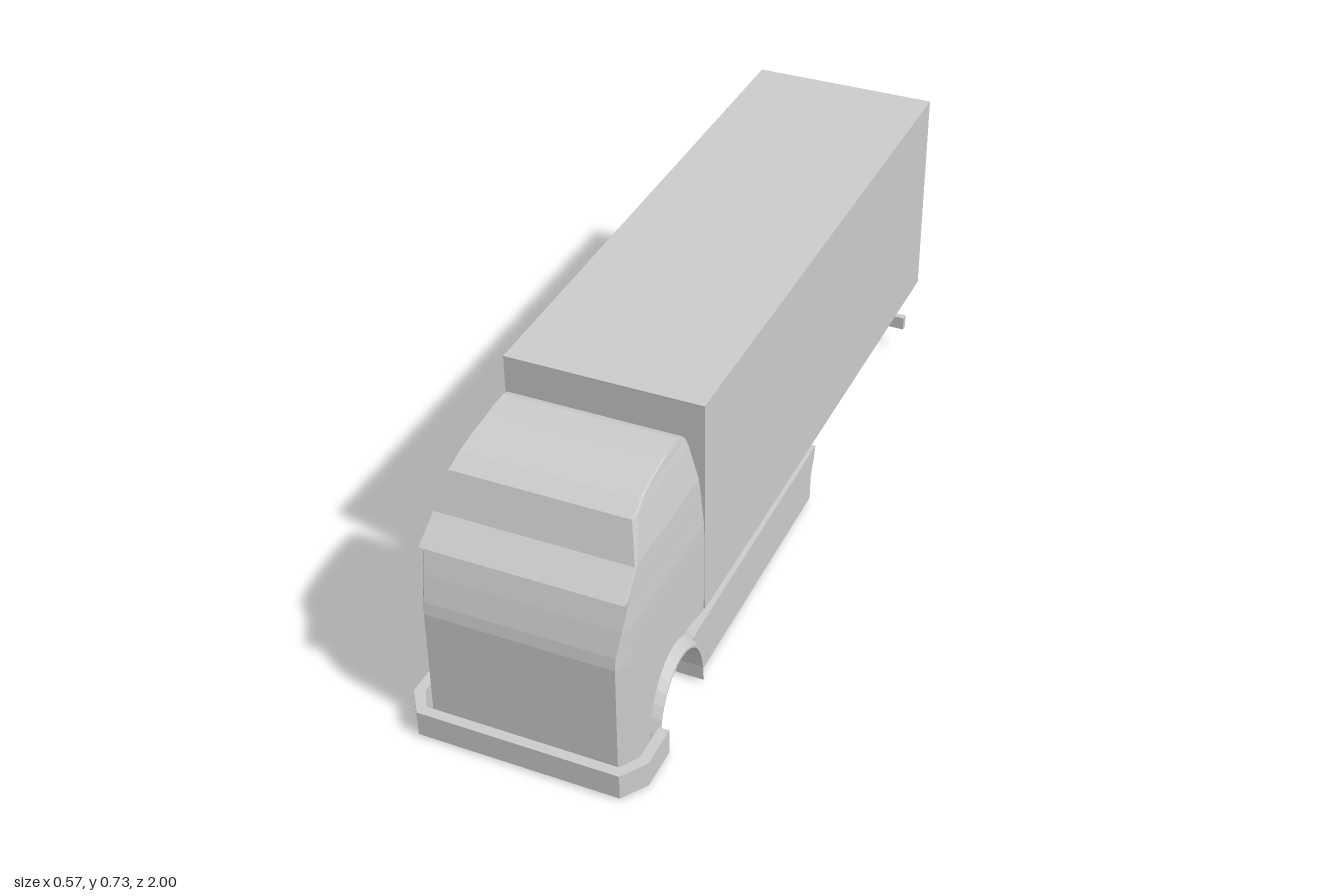
import * as THREE from 'three';

const CX = -0.003; // centre line of the body

const material = new THREE.MeshStandardMaterial({ color: 0xcccccc, flatShading: true });

function add(parent, geometry, name) {
  const mesh = new THREE.Mesh(geometry, material);
  mesh.name = name;
  parent.add(mesh);
  return mesh;
}

// Box given by its limits
function block(parent, name, x0, x1, y0, y1, z0, z1) {
  const g = new THREE.BoxGeometry(x1 - x0, y1 - y0, z1 - z0);
  g.translate((x0 + x1) / 2, (y0 + y1) / 2, (z0 + z1) / 2);
  return add(parent, g, name);
}

// Closed solid through a list of rings with equal point counts
function loft(rings) {
  const n = rings[0].length, m = rings.length, index = [];
  const pos = rings.flat(2);
  for (let i = 0; i < m - 1; i++) {
    for (let j = 0; j < n; j++) {
      const a = i * n + j, b = i * n + (j + 1) % n;
      index.push(a, b, b + n, a, b + n, a + n);
    }
  }
  const last = (m - 1) * n;
  for (let j = 1; j < n - 1; j++) {
    index.push(0, j + 1, j, last, last + j, last + j + 1);
  }
  // Turn the faces outward if the enclosed volume is negative
  const p = (k) => new THREE.Vector3(...pos.slice(k * 3, k * 3 + 3));
  let volume = 0;
  for (let k = 0; k < index.length; k += 3) {
    volume += p(index[k]).dot(p(index[k + 1]).cross(p(index[k + 2])));
  }
  if (volume < 0) index.reverse();
  const g = new THREE.BufferGeometry();
  g.setAttribute('position', new THREE.Float32BufferAttribute(pos, 3));
  g.setIndex(index);
  g.computeVertexNormals();
  return g;
}

// Side outline of [z, y] points pushed from x0 to x1
function sidePrism(points, x0, x1) {
  return loft([x0, x1].map((x) => points.map(([z, y]) => [x, y, z])));
}

function buildCab(group) {
  // Rows: height, back z, front z, half width, half width of front face, corner depth
  const rows = [
    [0.01, 0.835, 0.96, 0.247, 0.226, 0.035],
    [0.08, 0.825, 0.96, 0.247, 0.226, 0.035],
    [0.13, 0.805, 0.96, 0.247, 0.226, 0.035],
    [0.165, 0.77, 0.96, 0.247, 0.226, 0.035],
    [0.185, 0.71, 0.96, 0.247, 0.226, 0.035],
    [0.2, 0.54, 0.96, 0.247, 0.226, 0.035],
    [0.33, 0.54, 0.96, 0.247, 0.226, 0.035],
    [0.36, 0.54, 0.955, 0.247, 0.226, 0.033],
    [0.42, 0.541, 0.936, 0.246, 0.233, 0.02],
    [0.487, 0.544, 0.912, 0.241, 0.239, 0.004],
    [0.492, 0.544, 0.936, 0.241, 0.239, 0.01],
    [0.545, 0.548, 0.872, 0.237, 0.235, 0.008],
    [0.635, 0.557, 0.835, 0.217, 0.213, 0.02],
    [0.655, 0.562, 0.79, 0.212, 0.209, 0.02],
    [0.666, 0.57, 0.73, 0.21, 0.208, 0.02],
    [0.674, 0.59, 0.665, 0.208, 0.206, 0.02],
  ];
  add(group, loft(rows.map(([y, zb, zf, w, f, c]) => [
    [CX - w, y, zb], [CX - w, y, zf - c], [CX - f, y, zf],
    [CX + f, y, zf], [CX + w, y, zf - c], [CX + w, y, zb],
  ])), 'cab');
  // Floor dropping toward the back of the cab
  add(group, sidePrism([[0.68, 0.2], [0.54, 0.2], [0.54, 0.17]], CX - 0.245, CX + 0.245), 'cabFloor');
}

function buildFender(group, side, name) {
  // Flared section [distance from centre line, distance off the arch]
  const section = [[0.2, 0], [0.266, 0], [0.266, 0.006], [0.246, 0.032], [0.2, 0.02]];
  const rings = [];
  for (let i = 0; i <= 16; i++) {
    const a = Math.PI * i / 16;
    const c = Math.cos(a), s = Math.sin(a);
    rings.push(section.map(([x, r]) => [
      CX + side * x,
      0.008 + (0.166 + r) * Math.pow(Math.max(s, 0), 0.85),
      0.708 + (0.118 + r * 0.5) * c,
    ]));
  }
  add(group, loft(rings), name);
}

function buildBumper(group) {
  // Plan of the wrap-round bumper, right half outside then inside
  const half = [[0.246, 1], [0.287, 0.94], [0.287, 0.83], [0.262, 0.83], [0.262, 0.93], [0.235, 0.975]];
  const shape = new THREE.Shape();
  const outline = [...half, ...half.map(([x, z]) => [-x, z]).reverse()];
  outline.forEach(([x, z], i) => (i ? shape.lineTo(x, -z) : shape.moveTo(x, -z)));
  const g = new THREE.ExtrudeGeometry(shape, { depth: 0.065, bevelEnabled: false });
  g.rotateX(-Math.PI / 2);
  g.translate(-0.001, 0.006, 0);
  add(group, g, 'bumper');
  for (const s of [-1, 1]) {
    block(group, 'bumperBracket', CX + s * 0.16 - 0.012, CX + s * 0.16 + 0.012, 0.015, 0.05, 0.95, 0.985);
  }
}

function buildChassis(group) {
  for (const s of [-1, 1]) {
    const x = -0.005 + s * 0.085;
    block(group, s > 0 ? 'leftRail' : 'rightRail', x - 0.018, x + 0.018, 0.013, 0.16, -0.893, 0.92);
    // Side skirt with a curved front end and a raked back end
    const skirt = [
      [0.582, 0.005], [0.578, 0.07], [0.6, 0.14], [0.58, 0.147], [-0.165, 0.155],
      [-0.155, 0.12], [-0.138, 0.075], [-0.135, 0.01],
    ];
    const inner = CX + s * 0.135, outer = CX + s * 0.248;
    add(group, sidePrism(skirt, Math.min(inner, outer), Math.max(inner, outer)),
      s > 0 ? 'leftSkirt' : 'rightSkirt');
  }
  // Arched member closing the frame at the back
  const arch = new THREE.Shape();
  arch.moveTo(-0.07, 0.06);
  arch.lineTo(-0.07, 0.16);
  arch.lineTo(0.07, 0.16);
  arch.lineTo(0.07, 0.06);
  arch.quadraticCurveTo(0.05, 0.11, 0, 0.11);
  arch.quadraticCurveTo(-0.05, 0.11, -0.07, 0.06);
  const g = new THREE.ExtrudeGeometry(arch, { depth: 0.03, bevelEnabled: false, curveSegments: 5 });
  g.translate(-0.005, 0, -0.89);
  add(group, g, 'rearCrossMember');
  block(group, 'rearGuardBar', -0.245, 0.235, 0.063, 0.1, -0.905, -0.888);
}

export function createModel() {
  const model = new THREE.Group();
  model.name = 'boxTruck';

  const cab = new THREE.Group();
  cab.name = 'cabGroup';
  buildCab(cab);
  buildFender(cab, 1, 'leftFender');
  buildFender(cab, -1, 'rightFender');
  buildBumper(cab);

  // Chassis and cargo box rise slightly toward the back
  const body = new THREE.Group();
  body.name = 'bodyGroup';
  buildChassis(body);
  block(body, 'cargoBox', -0.246, 0.236, 0.158, 0.724, -0.998, 0.517);
  body.rotation.x = 0.006;

  model.add(cab, body);
  return model;
}
